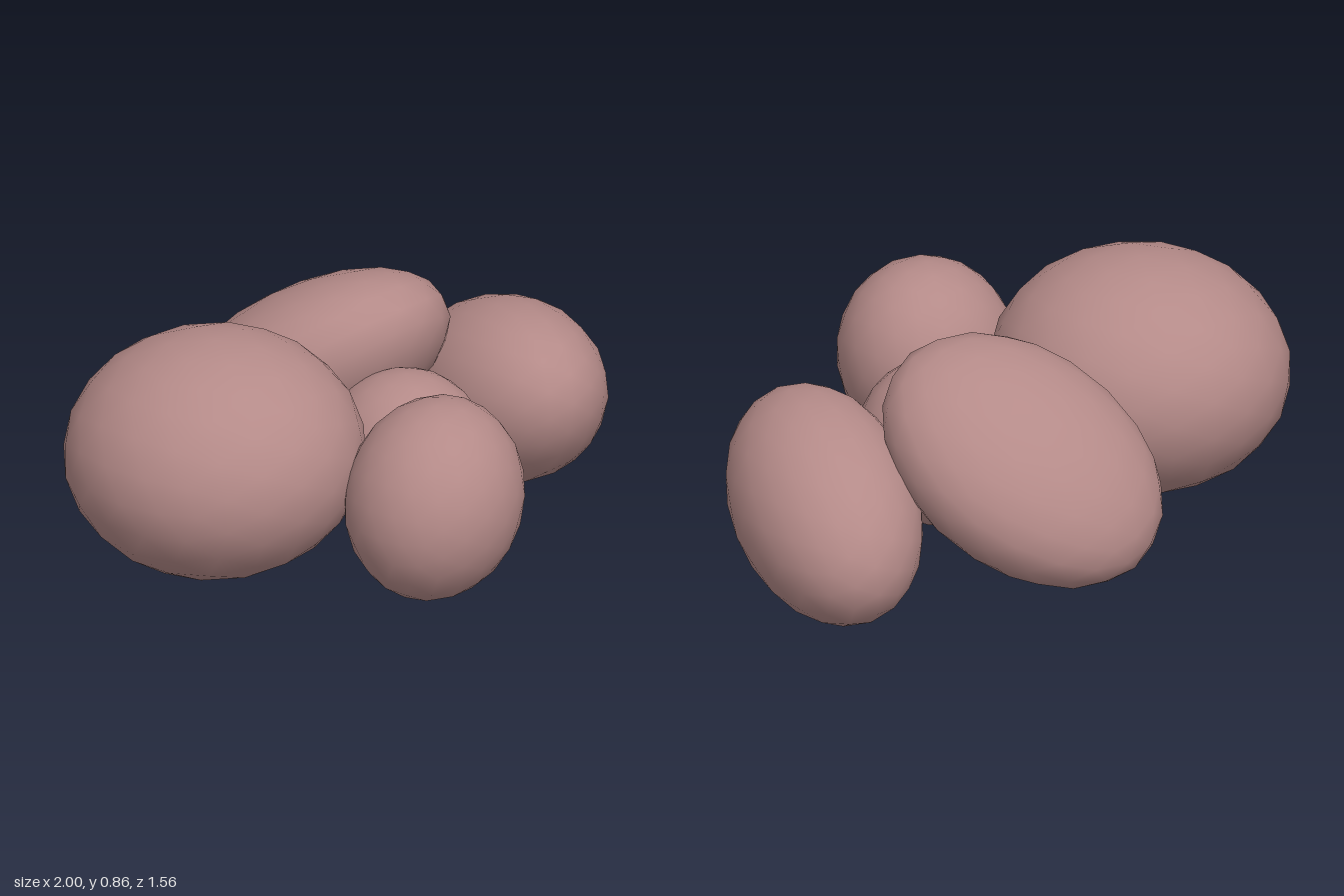
import * as THREE from 'three';

// name, centre, half extents, and tilt terms (xy, xz, yz) of each lobe
const LOBES = [
  ['largeLobe', [-0.525, 0.48, -0.17], [0.475, 0.385, 0.48], [0.005, 0, 0]],
  ['backLobe', [0.2, 0.46, -0.37], [0.4, 0.35, 0.415], [0.01, 0.03, 0.08]],
  ['leftLobe', [0.67, 0.325, 0.045], [0.33, 0.322, 0.42], [-0.018, -0.045, 0.036]],
  ['frontLobe', [-0.237, 0.408, 0.49], [0.312, 0.318, 0.29], [0.008, -0.008, 0]],
  ['coreLobe', [0.09, 0.335, 0.11], [0.257, 0.27, 0.27], [0, 0, 0]],
];

// Matrix that turns a unit sphere into a tilted ellipsoid with the given
// half extents along x, y, z (triangular root of its shape matrix)
function ellipsoidMatrix([cx, cy, cz], [hx, hy, hz], [xy, xz, yz]) {
  const a = hx;
  const b = xy / a;
  const c = xz / a;
  const d = Math.sqrt(hy * hy - b * b);
  const e = (yz - b * c) / d;
  const f = Math.sqrt(hz * hz - c * c - e * e);
  return new THREE.Matrix4().set(
    a, 0, 0, cx,
    b, d, 0, cy,
    c, e, f, cz,
    0, 0, 0, 1,
  );
}

export function createModel() {
  const group = new THREE.Group();
  group.name = 'lobeCluster';
  const material = new THREE.MeshStandardMaterial({ color: 0xb48a88 });

  // Overlapping faceted ellipsoids with smooth normals
  for (const [name, centre, half, tilt] of LOBES) {
    const geometry = new THREE.IcosahedronGeometry(1.005, 3);
    geometry.applyMatrix4(ellipsoidMatrix(centre, half, tilt));
    const mesh = new THREE.Mesh(geometry, material);
    mesh.name = name;
    group.add(mesh);
  }
  return group;
}
